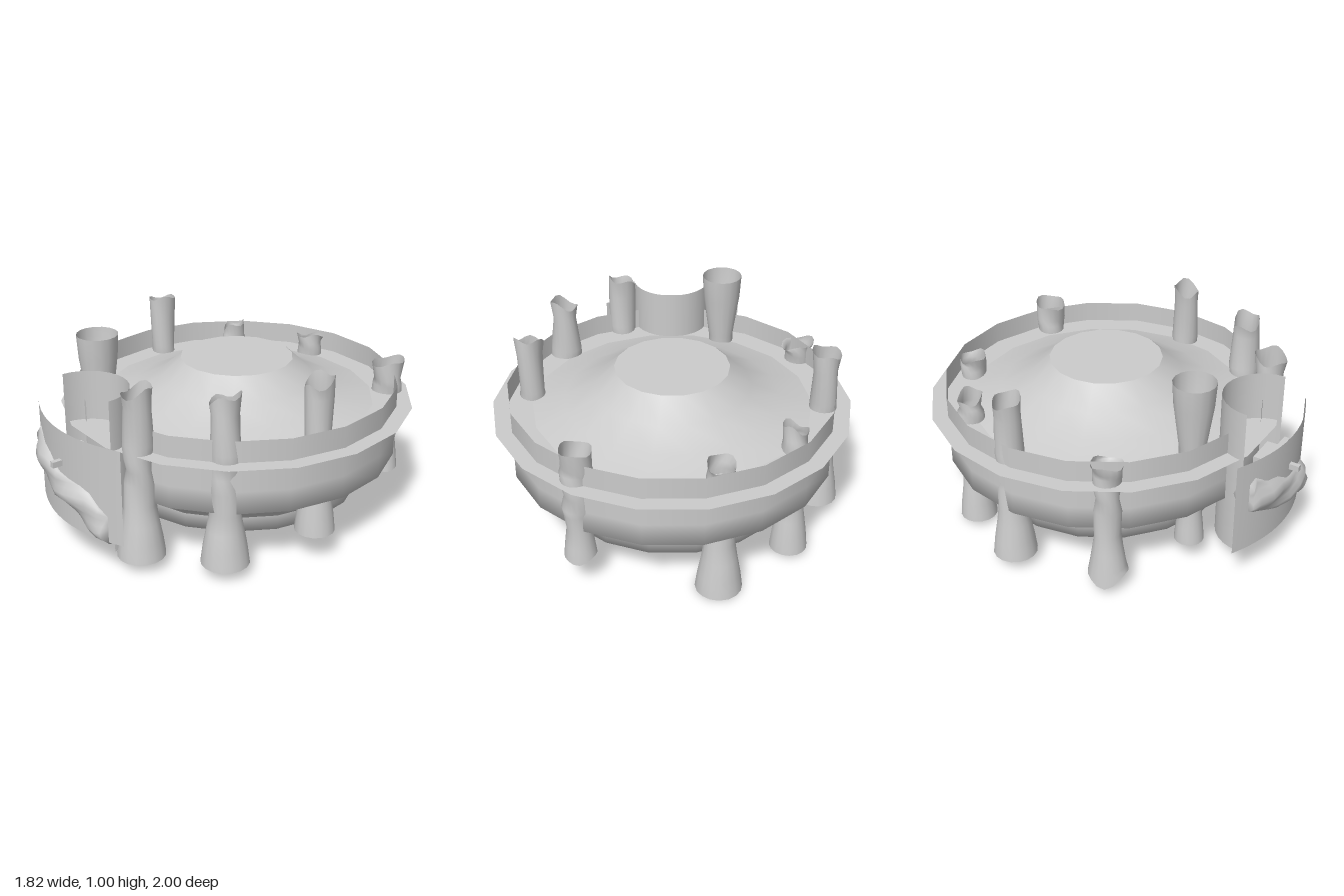
import * as THREE from 'three';

const CZ = -0.1;   // centre of the round body
const SIDES = 18;
const mat = new THREE.MeshStandardMaterial({ color: 0xcccccc, side: THREE.DoubleSide });

function add(parent, name, geometry, x = 0, y = 0, z = 0) {
  const mesh = new THREE.Mesh(geometry, mat);
  mesh.name = name;
  mesh.position.set(x, y, z);
  parent.add(mesh);
  return mesh;
}

// Ring-shaped part from [radius, height] points; gap leaves out sides at the front
function ring(parent, name, points, gap = 0) {
  const pts = points.map(p => new THREE.Vector2(p[0], p[1]));
  const side = Math.PI * 2 / SIDES;
  add(parent, name, new THREE.LatheGeometry(pts, SIDES - gap, side / 2, side * (SIDES - gap)), 0, 0, CZ);
}

// Surface through equal-length loops of points
function loft(loops) {
  const n = loops[0].length, pos = [], idx = [];
  loops.forEach(loop => loop.forEach(p => pos.push(...p)));
  for (let i = 0; i < loops.length - 1; i++) {
    for (let j = 0; j < n; j++) {
      const a = i * n + j, b = i * n + (j + 1) % n;
      idx.push(a, b, a + n, b, b + n, a + n);
    }
  }
  const g = new THREE.BufferGeometry();
  g.setAttribute('position', new THREE.Float32BufferAttribute(pos, 3));
  g.setIndex(idx);
  g.computeVertexNormals();
  return g;
}

// Worn hollow post: flared foot, narrow waist, ragged open top, optionally ragged foot
function post({ x, z, bottom, top, foot = 0.11, waist = 0.06, head = 0.07, rag = 0.05, footRag = 0 }) {
  const stations = [
    [bottom, foot], [bottom + 0.09, foot * 0.9], [bottom + 0.18, foot * 0.76], [bottom + 0.27, Math.max(foot * 0.62, waist)],
    [0.45, waist * 1.1], [0.52, waist], [0.58, waist * 1.1], [0.65, waist * 1.1],
    [Math.max(top - 0.12, 0.68), head * 0.93], [top, head],
  ];
  const loops = stations.map(([y, r], i) => {
    const loop = [];
    for (let j = 0; j < 16; j++) {
      const a = j / 16 * Math.PI * 2;
      const wobble = i > 2 && rag ? 1 + 0.08 * Math.sin(a * 2 + i * 1.9 + x * 9) : 1;
      const wave = 0.5 - 0.3 * Math.sin(a + x * 7 + z * 5) - 0.2 * Math.sin(a * 3 + x * 11);
      const shift = i === 9 ? -rag * wave : i === 0 ? footRag * wave : 0;
      loop.push([x + Math.sin(a) * r * wobble, y + shift, z + Math.cos(a) * r * wobble]);
    }
    return loop;
  });
  return loft(loops);
}

const doorZ = x => 0.95 - 0.1 * (x / 0.38) ** 2;

export function createModel() {
  const model = new THREE.Group();
  model.name = 'roundPavilion';

  // Main round body
  const body = new THREE.Group();
  body.name = 'body';
  model.add(body);
  ring(body, 'outerShell', [[0.66, 0.23], [0.73, 0.3], [0.83, 0.345], [0.83, 0.46], [0.83, 0.61]]);
  ring(body, 'rimWall', [[0.83, 0.61], [0.83, 0.72]], 1);
  ring(body, 'flange', [[0.91, 0.61], [0.7, 0.61]]);
  ring(body, 'roof', [[0.71, 0.61], [0.55, 0.65], [0.4, 0.72], [0.29, 0.82]]);
  ring(body, 'roofCap', [[0.29, 0.82], [0, 0.82]]);
  ring(body, 'lowerDrum', [[0.56, 0.155], [0.65, 0.15], [0.66, 0.23]]);
  ring(body, 'drumStep', [[0.485, 0.18], [0.54, 0.18], [0.56, 0.155]]);
  ring(body, 'recessWall', [[0.485, 0.3], [0.485, 0.18]]);
  ring(body, 'recessCeiling', [[0.1, 0.3], [0.485, 0.3]]);
  ring(body, 'centreSocket', [[0, 0.325], [0.1, 0.325], [0.1, 0.3]]);

  // Posts around the rim
  const posts = [
    { x: -0.22, z: -0.80, bottom: 0, top: 0.74, foot: 0.115 },
    { x: 0.44, z: -0.76, bottom: 0.15, top: 0.79, foot: 0.08, head: 0.08, waist: 0.068, rag: 0.04, footRag: 0.04 },
    { x: -0.58, z: -0.53, bottom: 0.03, top: 0.77, foot: 0.095, head: 0.06, rag: 0.07 },
    { x: -0.76, z: -0.155, bottom: 0.06, top: 0.95, foot: 0.11, rag: 0.05 },
    { x: 0.715, z: -0.03, bottom: 0.15, top: 0.97, foot: 0.1, rag: 0.08 },
    { x: -0.68, z: 0.34, bottom: 0.04, top: 0.73, foot: 0.1, head: 0.08, footRag: 0.09 },
    { x: 0.575, z: 0.41, bottom: 0.06, top: 0.95, foot: 0.12, waist: 0.072, rag: 0.08 },
    { x: -0.275, z: 0.56, bottom: 0.11, top: 1.0, foot: 0.075, waist: 0.06, head: 0.105, rag: 0 },
    { x: 0.275, z: 0.69, bottom: 0.06, top: 0.95, foot: 0.12, waist: 0.065, head: 0.075, rag: 0.07 },
  ];
  posts.forEach((p, i) => add(model, 'post' + (i + 1), post(p)));

  // Entrance: curved alcove behind a bowed front panel
  const entrance = new THREE.Group();
  entrance.name = 'entrance';
  model.add(entrance);
  add(entrance, 'alcoveWall', new THREE.CylinderGeometry(0.21, 0.21, 0.79, 14, 1, true, Math.PI / 2, Math.PI), 0, 0.47, 0.8);

  const panel = new THREE.PlaneGeometry(0.76, 0.49, 12, 1);
  const pp = panel.attributes.position;
  for (let i = 0; i < pp.count; i++) pp.setZ(i, doorZ(pp.getX(i)));
  panel.computeVertexNormals();
  add(entrance, 'frontPanel', panel, -0.005, 0.445, 0);

  // Lumpy diagonal drape on the panel: [x, top, bottom]
  const drape = [
    [-0.31, 0.57, 0.41], [-0.28, 0.6, 0.39], [-0.2, 0.55, 0.36], [-0.12, 0.53, 0.335], [-0.03, 0.47, 0.32],
    [0.06, 0.46, 0.315], [0.14, 0.455, 0.28], [0.2, 0.435, 0.225], [0.26, 0.37, 0.2], [0.3, 0.34, 0.187],
  ];
  const loops = drape.map(([x, hi, lo], i) => {
    const loop = [];
    for (let j = 0; j < 16; j++) {
      const a = j / 16 * Math.PI * 2;
      const depth = 0.05 + 0.014 * Math.sin(a * 3 + i * 1.7);
      loop.push([x, (hi + lo) / 2 + Math.cos(a) * (hi - lo) / 2, doorZ(x) - 0.015 + Math.sin(a) * depth]);
    }
    return loop;
  });
  // Close both ends to a point
  const tip = ([x, hi, lo]) => Array.from({ length: 16 }, () => [x, (hi + lo) / 2, doorZ(x) - 0.015]);
  add(entrance, 'drape', loft([tip(drape[0]), ...loops, tip(drape[9])]));

  // Knob and the latch blocks behind the panel
  add(entrance, 'knob', new THREE.BoxGeometry(0.025, 0.03, 0.06), 0, 0.52, 0.97);
  add(entrance, 'knobBar', new THREE.BoxGeometry(0.1, 0.015, 0.015), 0, 0.52, 0.94);
  add(entrance, 'latchBlock', new THREE.BoxGeometry(0.16, 0.2, 0.09), 0, 0.46, 0.835);
  for (const s of [-1, 1]) {
    add(entrance, 'latchArm', new THREE.BoxGeometry(0.04, 0.16, 0.04), s * 0.09, 0.46, 0.845);
    for (let k = 0; k < 4; k++) {
      add(entrance, 'latchRod', new THREE.BoxGeometry(0.09, 0.015, 0.03), s * 0.15, 0.38 + k * 0.05, 0.845);
    }
  }
  add(entrance, 'hingePost', new THREE.BoxGeometry(0.015, 0.08, 0.03), -0.22, 0.16, 0.79);

  return model;
}
